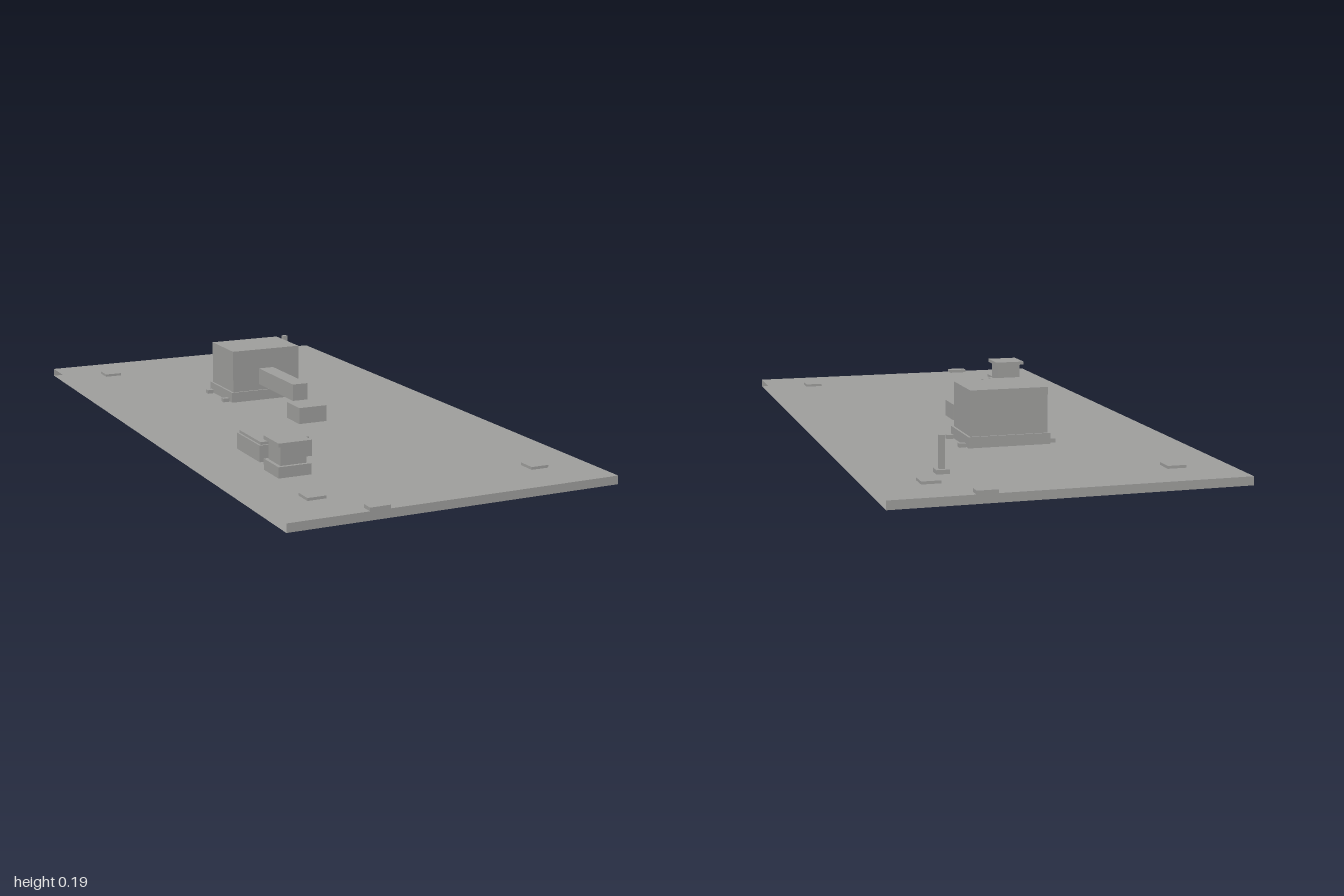
import * as THREE from 'three';

const SLAB_TOP = 0.025;

export function createModel() {
  const model = new THREE.Group();
  model.name = 'siteModel';
  const grey = new THREE.MeshStandardMaterial({ color: 0x9f9f9d, side: THREE.DoubleSide });
  grey.name = 'stone grey';

  // Block centred at (x, z), spanning y0 to y1
  function block(name, parent, x, z, w, d, y0, y1) {
    const mesh = new THREE.Mesh(new THREE.BoxGeometry(w, y1 - y0, d), grey);
    mesh.position.set(x, (y0 + y1) / 2, z);
    mesh.name = name;
    parent.add(mesh);
    return mesh;
  }

  function group(name) {
    const g = new THREE.Group();
    g.name = name;
    model.add(g);
    return g;
  }

  // Ground slab: open along its two long sides (drops the +x and -x faces)
  const slab = block('groundSlab', model, 0, 0, 1.008, 2, 0, SLAB_TOP);
  slab.geometry.setIndex(Array.from(slab.geometry.index.array).slice(12));
  slab.geometry.clearGroups();

  // Main hall with skirt and four feet
  const hall = group('mainHall');
  block('hallBody', hall, 0, -0.339, 0.236, 0.176, SLAB_TOP, 0.194);
  block('hallSkirt', hall, 0, -0.339, 0.25, 0.188, SLAB_TOP, 0.058);
  for (const x of [-0.138, 0.138]) {
    for (const z of [-0.407, -0.271]) {
      block('hallFoot', hall, x, z, 0.02, 0.017, SLAB_TOP, 0.037);
    }
  }

  // Raised walkway and the block at its end
  const walkway = group('walkway');
  block('walkwayBeam', walkway, 0, -0.119, 0.051, 0.266, 0.077, 0.13);
  block('walkwayEndBlock', walkway, 0, 0.06, 0.094, 0.092, SLAB_TOP, 0.076);

  // Low building with an inset roof
  const low = group('lowBuilding');
  block('lowBody', low, -0.254, 0.374, 0.164, 0.164, SLAB_TOP, 0.074);
  block('lowRoof', low, -0.254, 0.374, 0.152, 0.152, 0.074, 0.082);

  // Booth: plinth, body and overhanging roof
  const booth = group('booth');
  block('boothPlinth', booth, -0.306, 0.579, 0.1, 0.1, SLAB_TOP, 0.057);
  block('boothBody', booth, -0.306, 0.579, 0.079, 0.079, 0.057, 0.113);
  block('boothRoof', booth, -0.306, 0.579, 0.1, 0.1, 0.113, 0.124);

  // Post on a small base
  const post = group('post');
  block('postBase', post, 0.286, -0.727, 0.038, 0.038, SLAB_TOP, 0.037);
  block('postShaft', post, 0.286, -0.727, 0.016, 0.016, 0.037, 0.13);

  // Corner pads
  for (const x of [-0.347, 0.347]) {
    for (const z of [-0.823, 0.823]) {
      block('cornerPad', model, x, z, 0.055, 0.055, SLAB_TOP, 0.033);
    }
  }

  // Entry pads on the two short edges
  for (const s of [-1, 1]) {
    block('edgePad', model, -0.238 * s, 0.983 * s, 0.06, 0.034, SLAB_TOP, 0.035);
  }

  return model;
}
